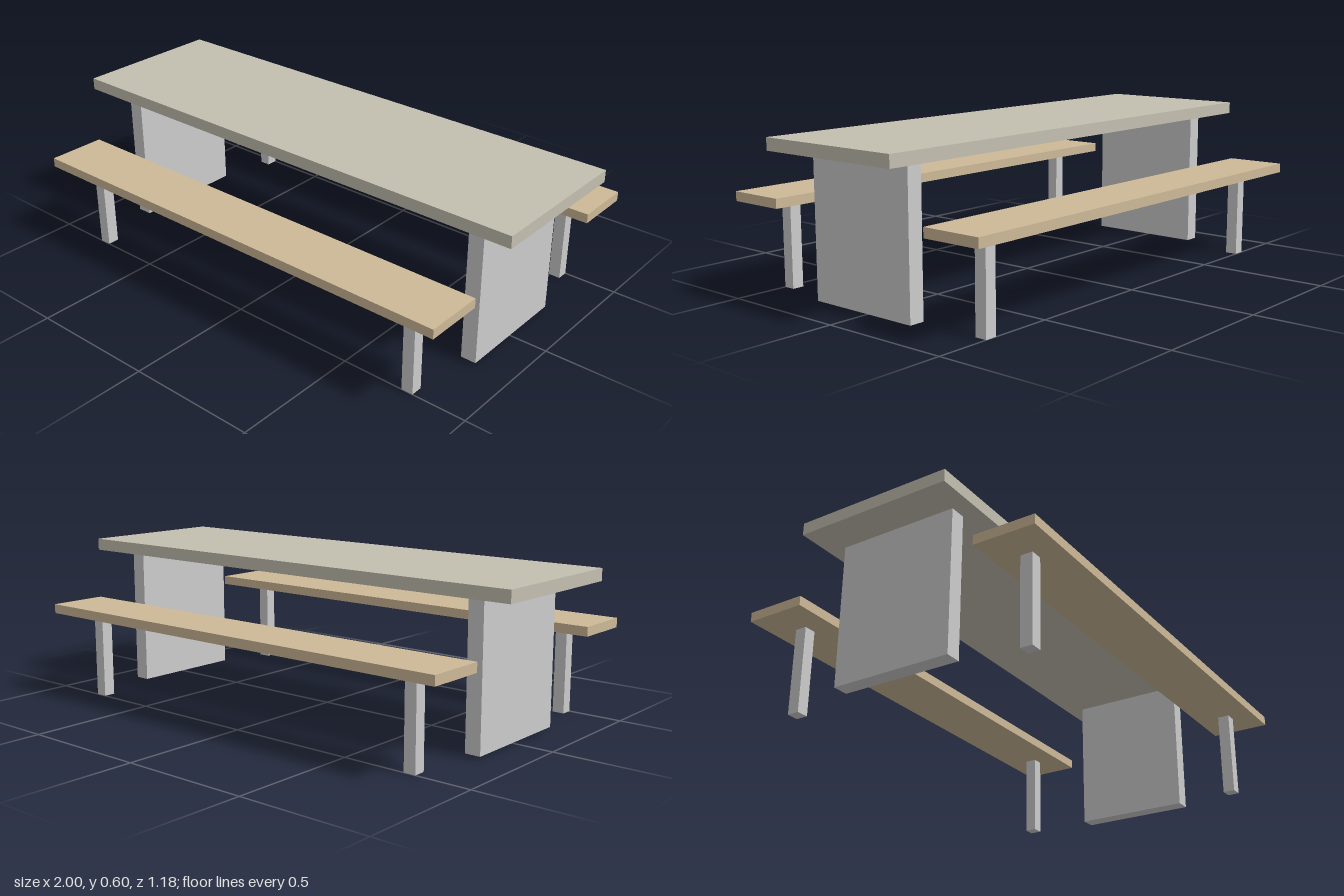
import * as THREE from 'three';

const grey = new THREE.MeshStandardMaterial({ color: 0xcccccc });
const stone = new THREE.MeshStandardMaterial({ color: 0xc3bfb0 });
const wood = new THREE.MeshStandardMaterial({ color: 0xcdb997 });

// Box resting on height y0 and reaching y1, centred on x and z
function slab(name, material, width, depth, y0, y1, x = 0, z = 0) {
  const mesh = new THREE.Mesh(new THREE.BoxGeometry(width, y1 - y0, depth), material);
  mesh.name = name;
  mesh.position.set(x, (y0 + y1) / 2, z);
  return mesh;
}

export function createModel() {
  const model = new THREE.Group();
  model.name = 'picnicTable';

  // Table: top on two wide end panels, which stop just above the ground
  const table = new THREE.Group();
  table.name = 'table';
  table.add(slab('tableTop', stone, 2, 0.6, 0.549, 0.595));
  for (const side of [-1, 1]) {
    table.add(slab(side > 0 ? 'leftPanel' : 'rightPanel', grey, 0.06, 0.462, 0.01, 0.549, side * 0.829));
  }
  model.add(table);

  // Benches: a plank on two square legs, front and back
  for (const face of [1, -1]) {
    const bench = new THREE.Group();
    bench.name = face > 0 ? 'frontBench' : 'backBench';
    bench.position.z = face * 0.477;
    bench.add(slab('seat', wood, 1.845, 0.23, 0.33, 0.366));
    for (const side of [-1, 1]) {
      bench.add(slab(side > 0 ? 'leftLeg' : 'rightLeg', grey, 0.046, 0.046, 0, 0.33, side * 0.767));
    }
    model.add(bench);
  }

  return model;
}
